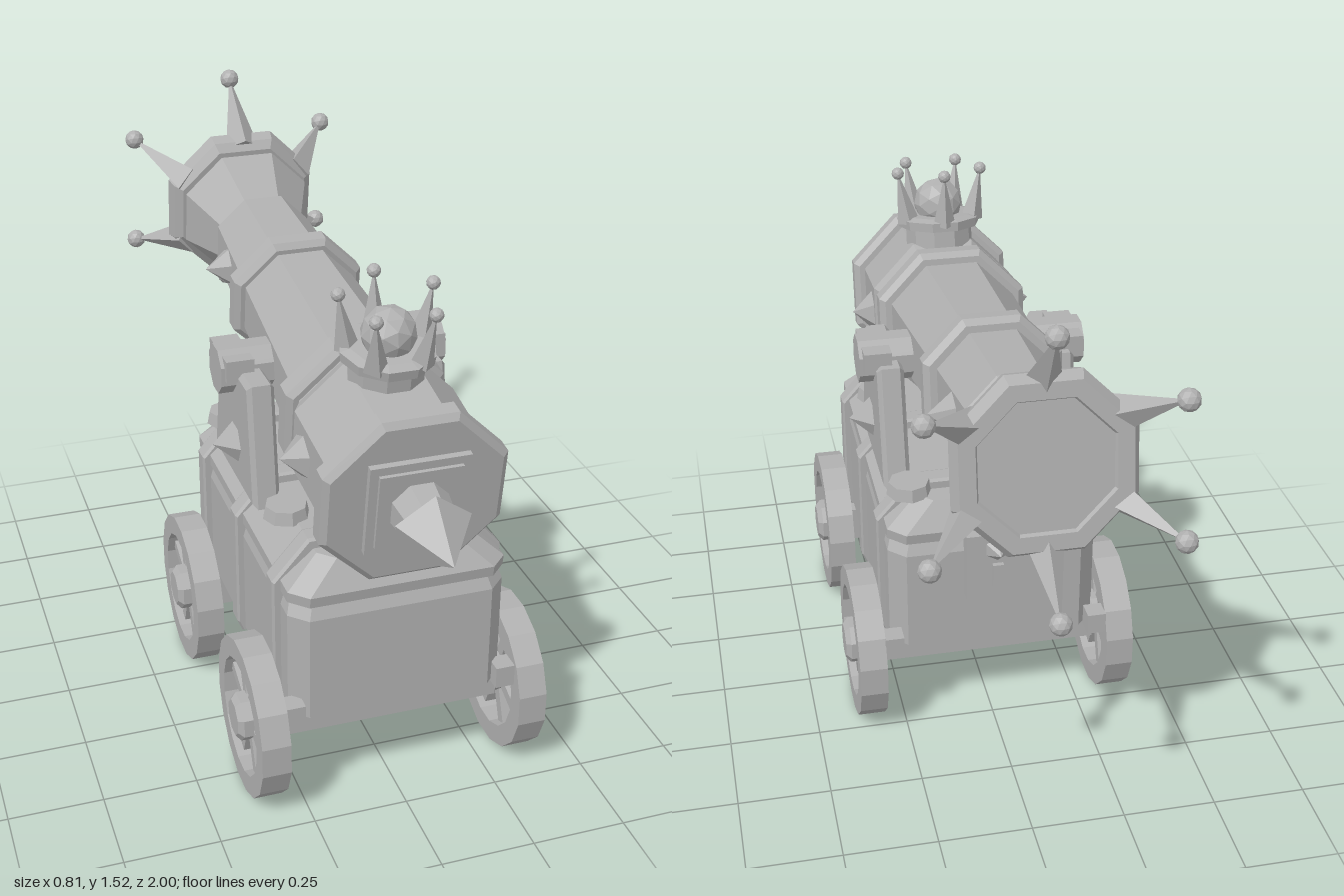
import * as THREE from 'three';

const gray = new THREE.MeshStandardMaterial({ color: 0xb0b0b0 });
gray.name = 'stone gray';

// Faceted mesh from any geometry
function part(name, geometry, parent, x = 0, y = 0, z = 0) {
  const g = geometry.index ? geometry.toNonIndexed() : geometry;
  g.computeVertexNormals();
  const mesh = new THREE.Mesh(g, gray);
  mesh.name = name;
  mesh.position.set(x, y, z);
  parent.add(mesh);
  return mesh;
}

function group(name, parent) {
  const g = new THREE.Group();
  g.name = name;
  parent.add(g);
  return g;
}

function box(name, parent, w, h, d, x, y, z) {
  return part(name, new THREE.BoxGeometry(w, h, d), parent, x, y, z);
}

// Flat-sided turned shape: profile of [height, apothem]
function turned(profile, sides = 8) {
  const k = 1 / Math.cos(Math.PI / sides);
  const pts = profile.map(([h, r]) => new THREE.Vector2(r * k, h));
  return new THREE.LatheGeometry(pts, sides, Math.PI / sides);
}

// Pyramid standing on point p and reaching to point t
function spike(name, parent, p, t, r, sides = 6) {
  const a = new THREE.Vector3(...p), b = new THREE.Vector3(...t);
  const d = b.clone().sub(a), h = d.length();
  const g = new THREE.ConeGeometry(r, h, sides).translate(0, h / 2, 0);
  const m = part(name, g, parent, ...p);
  m.quaternion.setFromUnitVectors(new THREE.Vector3(0, 1, 0), d.normalize());
  return m;
}

// Loft of corner-cut rectangles: levels of [y, halfX, halfZ, cut]
function loft(levels) {
  const pos = [];
  const rings = levels.map(([y, a, b, c]) =>
    [[a - c, b], [a, b - c], [a, c - b], [a - c, -b], [c - a, -b], [-a, c - b], [-a, b - c], [c - a, b]]
      .map(([x, z]) => [x, y, z]));
  const tri = (...p) => p.forEach((v) => pos.push(...v));
  for (let l = 0; l < rings.length - 1; l++) {
    const L = rings[l], U = rings[l + 1];
    for (let i = 0; i < 8; i++) {
      const j = (i + 1) % 8;
      tri(L[i], L[j], U[j]);
      tri(L[i], U[j], U[i]);
    }
  }
  const bottom = rings[0], top = rings[rings.length - 1];
  for (let i = 1; i < 7; i++) {
    tri(top[0], top[i], top[i + 1]);
    tri(bottom[0], bottom[i + 1], bottom[i]);
  }
  const g = new THREE.BufferGeometry();
  g.setAttribute('position', new THREE.Float32BufferAttribute(pos, 3));
  return g;
}

function polygon(points) {
  return new THREE.Shape(points.map((p) => new THREE.Vector2(...p)));
}

function buildChest(parent) {
  const chest = group('chest', parent);
  const cz = 0.21;
  part('chestBody', loft([[0.28, 0.287, 0.475, 0.045], [0.57, 0.287, 0.475, 0.045], [0.63, 0.27, 0.45, 0.045]]), chest, 0, 0, cz);
  part('lid', loft([[0.61, 0.287, 0.475, 0.045], [0.64, 0.287, 0.48, 0.045], [0.715, 0.2, 0.435, 0.04]]), chest, 0, 0, cz);
  // Straps wrapping the chest
  const outline = polygon([[-0.29, 0.272], [0.29, 0.272], [0.302, 0.3], [0.302, 0.63], [0.21, 0.735], [-0.21, 0.735], [-0.302, 0.63], [-0.302, 0.3]]);
  for (const z of [0.552, 0.21, -0.133]) {
    const g = new THREE.ExtrudeGeometry(outline, { depth: 0.044, bevelThickness: 0.01, bevelSize: 0.005, bevelSegments: 1 });
    part('strap', g, chest, 0, 0, z - 0.022);
  }
  for (const side of [-1, 1]) {
    for (const z of [0.4, -0.16]) {
      part('lidDisc', new THREE.CylinderGeometry(0.055, 0.062, 0.035, 8), chest, side * 0.215, 0.728, z);
    }
    for (const z of [0.675, -0.275]) box('cornerBlock', chest, 0.052, 0.06, 0.055, side * 0.285, 0.302, z);
  }
  // Clasp on the back
  const clasp = group('clasp', chest);
  box('claspPlate', clasp, 0.17, 0.2, 0.045, 0, 0.535, -0.28);
  box('claspSlot', clasp, 0.03, 0.07, 0.02, 0, 0.51, -0.306);
  spike('claspStud', clasp, [0, 0.59, -0.3], [0, 0.59, -0.345], 0.038);
}

function buildWheels(parent) {
  for (const z of [0.535, -0.115]) {
    box('axle', parent, 0.62, 0.105, 0.11, 0, 0.218, z);
    for (const side of [-1, 1]) {
      const wheel = group('wheel', parent);
      wheel.position.set(side * 0.348, 0.212, z);
      wheel.rotation.z = -side * Math.PI / 2;
      const rim = [[-0.038, 0.155], [-0.038, 0.21], [0.038, 0.21], [0.038, 0.155], [-0.038, 0.155]];
      part('rim', turned(rim, 16), wheel);
      part('hub', turned([[-0.04, 0], [-0.04, 0.06], [0.042, 0.06], [0.056, 0.045], [0.056, 0]]), wheel);
      for (let i = 0; i < 8; i++) {
        const arm = group('spokeArm', wheel);
        arm.rotation.y = (i + 0.5) * Math.PI / 4;
        box('spoke', arm, 0.03, 0.035, 0.12, 0, 0, 0.11);
      }
    }
  }
}

function buildSupports(parent) {
  const outline = polygon([[-0.285, 0.69], [0.08, 0.69], [0.01, 1.0], [-0.245, 1.0]]);
  for (const side of [-1, 1]) {
    const support = group('support', parent);
    const g = new THREE.ExtrudeGeometry(outline, { depth: 0.05, bevelThickness: 0.012, bevelSize: 0.014, bevelSegments: 1 });
    // Sketch runs along -z, thickness along x
    g.rotateY(Math.PI / 2);
    part('supportPlate', g, support, side * 0.235 - 0.025, 0, 0);
    spike('supportStud', support, [side * 0.268, 0.796, 0.126], [side * 0.335, 0.796, 0.126], 0.058);
    box('trunnionCap', support, 0.075, 0.06, 0.17, side * 0.265, 1.02, 0.085);
  }
  const pin = part('trunnion', turned([[-0.312, 0], [-0.312, 0.062], [0.312, 0.062], [0.312, 0]]), parent, 0, 1.0, 0.09);
  pin.rotation.z = Math.PI / 2;
}

function buildCrown(parent) {
  const crown = group('crown', parent);
  crown.position.y = -0.505;
  crown.rotation.x = Math.PI / 2;
  part('crownBand', turned([[0.17, 0], [0.17, 0.092], [0.25, 0.092], [0.252, 0.112], [0.278, 0.115], [0.285, 0.09], [0.285, 0]], 10), crown);
  part('crownDome', new THREE.IcosahedronGeometry(0.07, 1), crown, 0, 0.315, 0);
  for (let i = 0; i < 5; i++) {
    const a = Math.PI + i * Math.PI * 0.4, s = Math.sin(a), c = Math.cos(a);
    spike('crownPoint', crown, [s * 0.098, 0.27, c * 0.098], [s * 0.127, 0.42, c * 0.127], 0.032, 4);
    part('crownBall', new THREE.IcosahedronGeometry(0.018, 1), crown, s * 0.126, 0.415, c * 0.126);
  }
}

function buildBarrel(parent) {
  // Local +y runs to the muzzle, local +z is up
  const barrel = group('barrel', parent);
  barrel.position.y = 1.016;
  barrel.rotation.x = -Math.PI / 2 + 0.148;
  const ring = (name, s, e, r) => part(name,
    turned([[s, 0], [s, r - 0.016], [s + 0.014, r], [e - 0.014, r], [e, r - 0.016], [e, 0]]), barrel);

  part('breech', turned([[-0.72, 0], [-0.72, 0.19], [-0.68, 0.203], [-0.45, 0.208], [-0.39, 0.175], [-0.39, 0]]), barrel);
  ring('breechRing', -0.758, -0.688, 0.233);
  part('midBarrel', turned([[-0.4, 0.18], [0.22, 0.153]]), barrel);
  ring('midRing', -0.395, -0.318, 0.21);
  ring('frontRing', 0.18, 0.25, 0.183);
  part('frontBarrel', turned([[0.22, 0.15], [0.55, 0.134], [0.585, 0.105]]), barrel);
  part('muzzleFlare', turned([[0.565, 0], [0.565, 0.125], [0.725, 0.186], [0.76, 0.15], [0.76, 0]]), barrel);
  part('muzzleLip', turned([[0.745, 0], [0.745, 0.19], [0.765, 0.213], [0.8, 0.222], [0.828, 0.205], [0.828, 0.165], [0.818, 0.16], [0.818, 0]]), barrel);

  // Ball-tipped muzzle spikes
  for (let i = 0; i < 6; i++) {
    const a = i * Math.PI / 3, s = Math.sin(a), c = Math.cos(a);
    spike('muzzleSpike', barrel, [s * 0.19, 0.775, c * 0.19], [s * 0.345, 0.935, c * 0.345], 0.05, 4);
    part('muzzleBall', new THREE.IcosahedronGeometry(0.028, 1), barrel, s * 0.342, 0.932, c * 0.342);
  }

  // Rear plate, neck and point
  box('rearPlate', barrel, 0.254, 0.03, 0.254, 0, -0.76, 0);
  box('rearPlateInset', barrel, 0.21, 0.02, 0.21, 0, -0.775, 0);
  part('rearNeck', turned([[-0.88, 0], [-0.88, 0.06], [-0.77, 0.073], [-0.77, 0]]), barrel);
  spike('rearPoint', barrel, [0, -0.87, 0], [0, -1.01, 0], 0.1, 5);

  // Side studs
  for (const side of [-1, 1]) {
    spike('breechStud', barrel, [side * 0.2, -0.52, 0], [side * 0.265, -0.52, 0], 0.066);
    spike('barrelStud', barrel, [side * 0.14, 0.41, 0], [side * 0.207, 0.41, 0], 0.056);
  }
  buildCrown(barrel);
}

export function createModel() {
  const model = new THREE.Group();
  model.name = 'cannonCart';
  buildChest(model);
  buildWheels(model);
  buildSupports(model);
  buildBarrel(model);
  return model;
}
